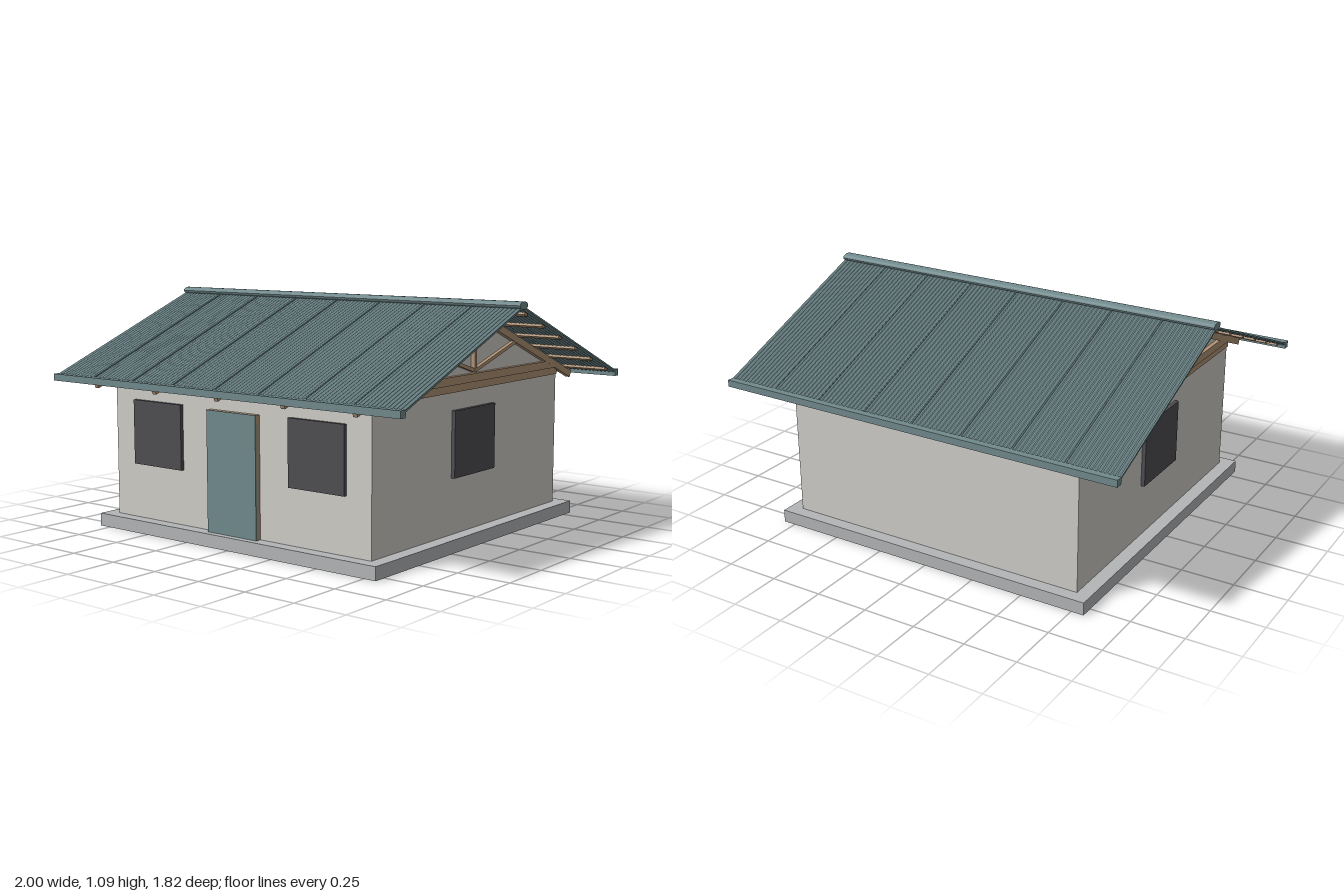
import * as THREE from 'three';

const PITCH = 0.4;                 // roof rise over run
const ANGLE = Math.atan(PITCH);
const mat = (name, color, side = THREE.FrontSide) => {
  const m = new THREE.MeshStandardMaterial({ color, side });
  m.name = name;
  return m;
};

export function createModel() {
  const model = new THREE.Group();
  model.name = 'house';
  const wall = mat('plaster', 0xcfcdc8);
  const concrete = mat('concrete', 0xb3b5b6);
  const teal = mat('tealMetal', 0x718a8d);
  const wood = mat('wood', 0xb09274);
  const glass = mat('darkGlass', 0x4e4d51);

  const add = (parent, name, geo, material) => {
    const m = new THREE.Mesh(geo, material);
    m.name = name;
    parent.add(m);
    return m;
  };
  // box from its minimum and maximum corners
  const box = (parent, name, a, b, material) => {
    const m = add(parent, name, new THREE.BoxGeometry(b[0] - a[0], b[1] - a[1], b[2] - a[2]), material);
    m.position.set((a[0] + b[0]) / 2, (a[1] + b[1]) / 2, (a[2] + b[2]) / 2);
    return m;
  };
  // plate from a (z, y) outline, with its thickness centred on x
  const sidePlate = (parent, name, points, x, thick, material) => {
    const shape = new THREE.Shape(points.map(p => new THREE.Vector2(p[0], p[1])));
    const geo = new THREE.ExtrudeGeometry(shape, { depth: thick, bevelEnabled: false });
    geo.translate(0, 0, -thick / 2).rotateY(-Math.PI / 2);
    add(parent, name, geo, material).position.x = x;
  };

  // slab, walls and gable infill
  box(model, 'slab', [-0.81, 0, -0.81], [0.81, 0.06, 0.81], concrete);
  box(model, 'walls', [-0.745, 0.06, -0.75], [0.745, 0.695, 0.75], wall);
  for (const s of [-1, 1]) {
    sidePlate(model, 'gableInfill', [[-0.74, 0.69], [0.74, 0.69], [0.74, 0.734], [0, 1.03], [-0.74, 0.734]],
      s * 0.727, 0.025, wall);
  }

  // wall plate ring
  for (const s of [-1, 1]) {
    box(model, 'longWallPlate', [-0.752, 0.694, s * 0.735 - 0.015], [0.752, 0.729, s * 0.735 + 0.015], wood);
    box(model, 'gableWallPlate', [s * 0.737 - 0.015, 0.694, -0.75], [s * 0.737 + 0.015, 0.729, 0.75], wood);
  }

  // door and windows
  box(model, 'doorFrame', [-0.143, 0.06, 0.745], [0.143, 0.61, 0.771], wood);
  box(model, 'doorPanel', [-0.143, 0.06, 0.771], [0.143, 0.61, 0.779], teal);
  for (const s of [-1, 1]) {
    box(model, 'frontWindow', [s * 0.465 - 0.15, 0.315, 0.745], [s * 0.465 + 0.15, 0.615, 0.767], glass);
    box(model, 'sideWindow', [s * 0.752 - 0.011, 0.315, -0.165], [s * 0.752 + 0.011, 0.615, 0.165], glass);
  }

  // five roof trusses
  for (let i = -2; i <= 2; i++) {
    const truss = new THREE.Group();
    truss.name = 'truss';
    truss.position.x = i * 0.375;
    model.add(truss);
    for (const s of [-1, 1]) {
      const rafter = [[0, 1.05], [s * 0.878, 0.699], [s * 0.866, 0.668], [0, 1.015]];
      sidePlate(truss, 'rafter', rafter, 0, 0.022, wood);
      const web = [[0, 0.768], [s * 0.365, 0.878], [s * 0.347, 0.889], [0, 0.785]];
      sidePlate(truss, 'webBrace', web, 0, 0.018, wood);
    }
    const chord = [[-0.73, 0.728], [0.73, 0.728], [0.73, 0.742], [0.665, 0.765], [-0.665, 0.765], [-0.73, 0.742]];
    sidePlate(truss, 'bottomChord', chord, 0, 0.021, wood);
    box(truss, 'kingPost', [-0.01, 0.76, -0.008], [0.01, 1.03, 0.008], wood);
  }

  // corrugated sheet cross-section
  const W = 0.25, WAVES = 12, STEPS = WAVES * 6;
  const sheet = new THREE.Shape();
  const wave = i => 0.003 * Math.cos((i / STEPS) * WAVES * Math.PI * 2);
  sheet.moveTo(0, wave(0) - 0.004);
  for (let i = 1; i <= STEPS; i++) sheet.lineTo((i / STEPS) * W, wave(i) - 0.004);
  for (let i = STEPS; i >= 0; i--) sheet.lineTo((i / STEPS) * W, wave(i) + 0.004);
  sheet.closePath();
  const length = 0.89 / Math.cos(ANGLE);
  const sheetGeo = new THREE.ExtrudeGeometry(sheet, { depth: length, bevelEnabled: false });

  // two roof slopes with sheets, seams and purlins
  for (const turn of [0, Math.PI]) {
    const side = new THREE.Group();
    side.name = turn ? 'backRoof' : 'frontRoof';
    side.rotation.y = turn;
    model.add(side);
    const slope = new THREE.Group();
    slope.name = 'slope';
    slope.position.y = 1.064;
    slope.rotation.x = ANGLE;
    side.add(slope);
    for (let i = 0; i < 8; i++) {
      add(slope, 'roofSheet', sheetGeo, teal).position.x = -1 + i * W;
      if (i) box(slope, 'sheetSeam', [-1.003 + i * W, 0, 0], [-0.997 + i * W, 0.0085, length], teal);
    }
    for (let i = 0; i < 6; i++) {
      const z = 0.06 + i * 0.165;
      box(slope, 'purlin', [-0.98, -0.016, z - 0.014], [0.98, -0.004, z + 0.014], wood);
    }
    box(side, 'eaveTrim', [-1, 0.689, 0.877], [1, 0.721, 0.911], teal);
  }

  // rounded ridge cap
  const cap = new THREE.Shape();
  cap.absellipse(0, 0, 0.034, 0.017, 0, Math.PI * 2);
  const capGeo = new THREE.ExtrudeGeometry(cap, { depth: 2, bevelEnabled: false, curveSegments: 8 });
  capGeo.translate(0, 0, -1).rotateY(-Math.PI / 2);
  add(model, 'ridgeCap', capGeo, teal).position.y = 1.075;

  return model;
}
